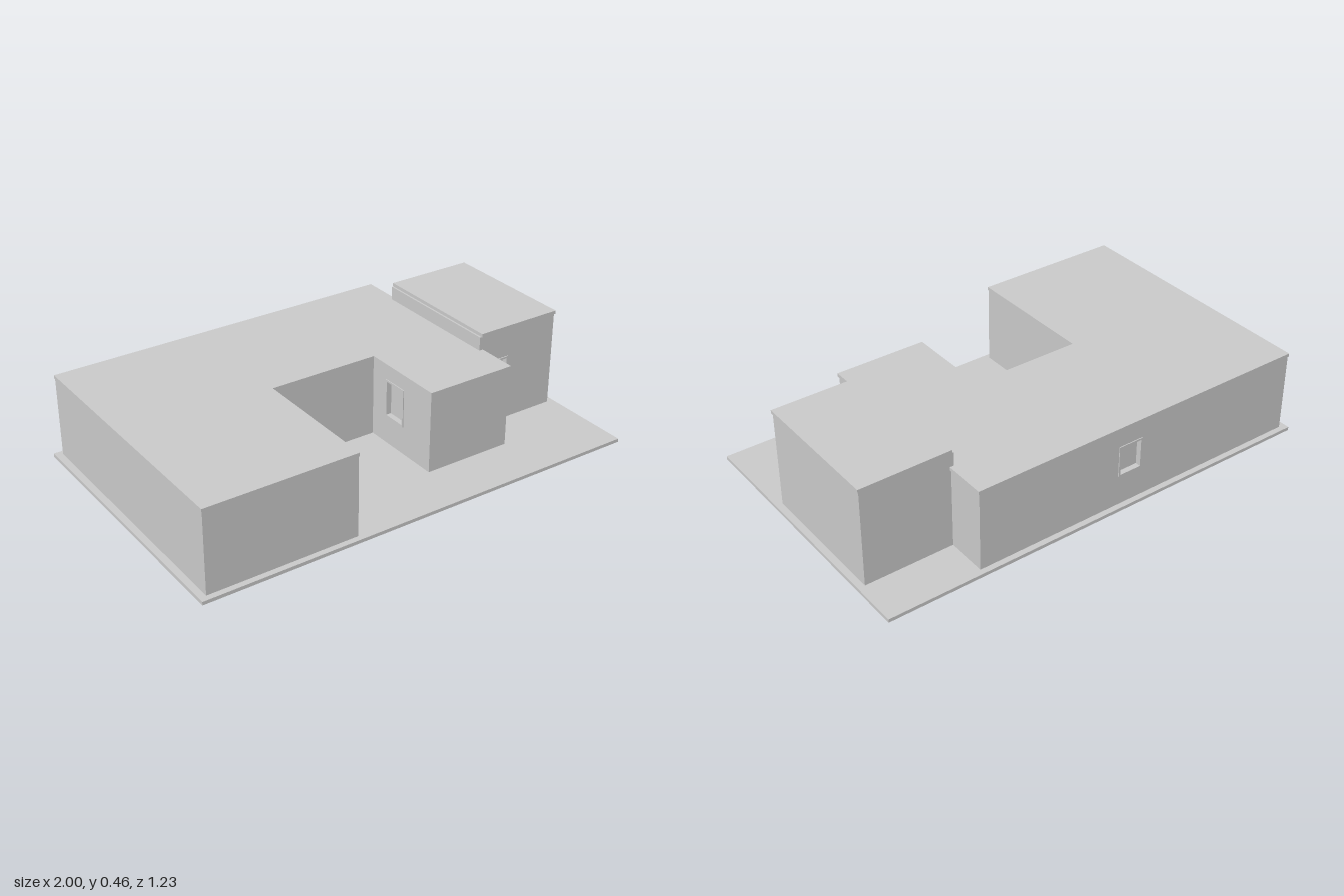
import * as THREE from 'three';

const WALL = 0.02; // wall thickness
const FRAME = 0.004; // how far a window frame stands out
const BASE = 0.015; // ground slab thickness

const plaster = new THREE.MeshStandardMaterial({ color: 0xc8c8c8 });
plaster.name = 'plainGrey';

function addMesh(parent, name, geometry) {
  const mesh = new THREE.Mesh(geometry, plaster);
  mesh.name = name;
  parent.add(mesh);
  return mesh;
}

function rect(Type, x0, y0, x1, y1) {
  return new Type([[x0, y0], [x1, y0], [x1, y1], [x0, y1]].map(p => new THREE.Vector2(...p)));
}

// Upright wall from a to b (x, z); its outside lies to the right of that path.
// A window is given as distances along the wall and heights: [u0, y0, u1, y1].
function addWall(parent, a, b, y0, y1, win) {
  const dx = b[0] - a[0], dz = b[1] - a[1];
  const side = new THREE.Group();
  side.name = 'wallSide';
  side.position.set(a[0], 0, a[1]);
  side.rotation.y = Math.atan2(-dz, dx);
  parent.add(side);

  const shape = rect(THREE.Shape, 0, y0, Math.hypot(dx, dz), y1);
  if (win) {
    const [u0, v0, u1, v1] = win;
    const m = 0.008;
    const inner = [u0 + m, v0 + m, u1 - m, v1 - m];
    shape.holes.push(rect(THREE.Path, ...inner));
    // slim frame around the opening
    const ring = rect(THREE.Shape, ...win);
    ring.holes.push(rect(THREE.Path, ...inner));
    addMesh(side, 'windowFrame', new THREE.ExtrudeGeometry(ring, { depth: FRAME, bevelEnabled: false }));
    // recessed pane
    const pane = addMesh(side, 'windowPane', new THREE.BoxGeometry(u1 - u0, v1 - v0, 0.006));
    pane.position.set((u0 + u1) / 2, (v0 + v1) / 2, -WALL - 0.003);
  }
  const geometry = new THREE.ExtrudeGeometry(shape, { depth: WALL, bevelEnabled: false });
  addMesh(side, 'wall', geometry.translate(0, 0, -WALL));
}

// Flat slab with an (x, z) outline
function addRoof(parent, outline, y0, y1) {
  const shape = new THREE.Shape(outline.map(([x, z]) => new THREE.Vector2(x, -z)));
  const geometry = new THREE.ExtrudeGeometry(shape, { depth: y1 - y0, bevelEnabled: false });
  addMesh(parent, 'roof', geometry.rotateX(-Math.PI / 2).translate(0, y0, 0));
}

// Walls round an outline plus a roof; windows are keyed by wall number
function addBuilding(parent, name, walls, roof, yWall, yRoof, windows) {
  const building = new THREE.Group();
  building.name = name;
  walls.forEach((a, i) => addWall(building, a, walls[(i + 1) % walls.length], BASE, yWall, windows[i]));
  addRoof(building, roof, yWall, yRoof);
  parent.add(building);
}

export function createModel() {
  const model = new THREE.Group();
  model.name = 'courtyardHouse';

  addMesh(model, 'groundSlab', new THREE.BoxGeometry(2, BASE, 1.226)).position.y = BASE / 2;

  // Main house wrapped around the front courtyard
  addBuilding(model, 'mainHouse',
    [[-0.97, 0.588], [-0.312, 0.588], [-0.312, -0.01], [0.183, -0.01],
      [0.183, 0.376], [0.58, 0.376], [0.58, -0.588], [-0.97, -0.588]],
    [[-0.972, 0.59], [-0.31, 0.59], [-0.31, -0.005], [0.18, -0.005],
      [0.18, 0.38], [0.585, 0.38], [0.585, -0.592], [-0.972, -0.592]],
    0.365, 0.38,
    { 3: [0.09, 0.14, 0.21, 0.31], 6: [0.655, 0.15, 0.77, 0.29] });

  // Taller annex on the side
  addBuilding(model, 'annex',
    [[0.567, 0.201], [0.97, 0.201], [0.97, -0.408], [0.567, -0.408]],
    [[0.575, 0.205], [0.975, 0.205], [0.975, -0.412], [0.575, -0.412]],
    0.44, 0.455,
    { 0: [0.076, 0.172, 0.156, 0.312] });

  return model;
}
